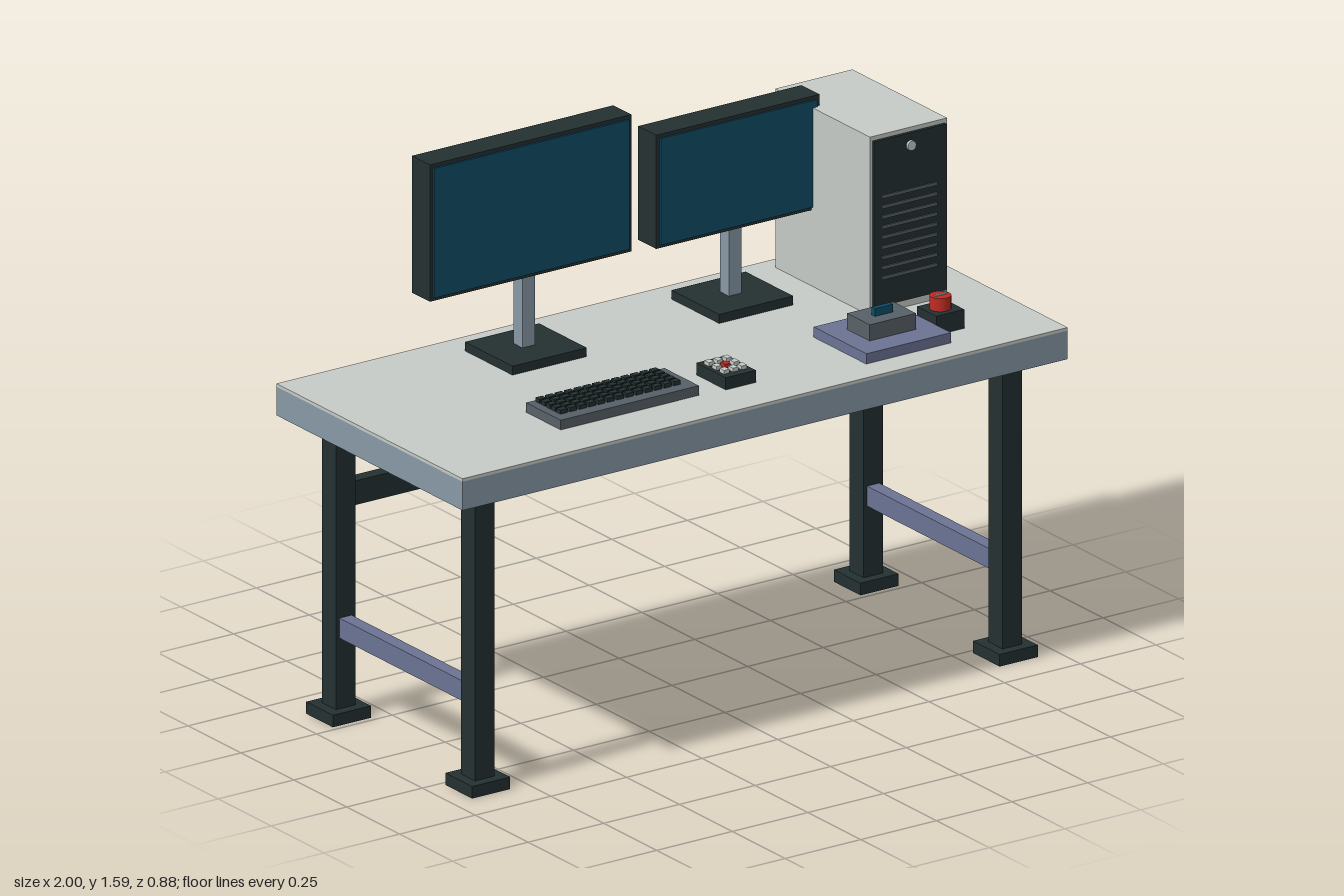
import * as THREE from 'three';

const mat = (name, color) => {
  const m = new THREE.MeshStandardMaterial({ color });
  m.name = name;
  return m;
};

export function createModel() {
  const light = mat('light grey', 0xc6cbc7), slate = mat('slate', 0x8799a6);
  const dark = mat('charcoal', 0x243031), violet = mat('violet grey', 0x6b7394);
  const blue = mat('screen blue', 0x0f4c67), red = mat('red', 0xc02c24);
  const grey = mat('mid grey', 0x586068);

  const model = new THREE.Group();
  model.name = 'workbench';
  const group = (name) => {
    const g = new THREE.Group();
    g.name = name;
    model.add(g);
    return g;
  };
  // Box given by its min and max on each axis
  const box = (parent, name, m, [x0, x1], [y0, y1], [z0, z1]) => {
    const mesh = new THREE.Mesh(new THREE.BoxGeometry(x1 - x0, y1 - y0, z1 - z0), m);
    mesh.position.set((x0 + x1) / 2, (y0 + y1) / 2, (z0 + z1) / 2);
    mesh.name = name;
    parent.add(mesh);
    return mesh;
  };
  const around = (c, size) => [c - size / 2, c + size / 2];
  const TOP = 0.957;

  // Table: slab, laminate, legs, feet and rails
  const table = group('table');
  box(table, 'tableSlab', slate, [-1, 1], [0.865, 0.948], [-0.44, 0.44]);
  box(table, 'tableLaminate', light, [-1, 1], [0.948, TOP], [-0.44, 0.44]);
  for (const sx of [-1, 1]) {
    const x = sx * 0.872;
    for (const sz of [-1, 1]) {
      const z = sz * 0.329;
      box(table, 'leg', dark, around(x, 0.065), [0.035, 0.865], around(z, 0.066));
      box(table, 'foot', dark, around(x, 0.126), [0, 0.035], around(z, 0.126));
    }
    box(table, 'sideRail', violet, around(x, 0.04), [0.24, 0.298], [-0.296, 0.296]);
  }
  box(table, 'backBeam', dark, [-0.84, 0.84], [0.6, 0.67], [-0.367, -0.327]);

  // Two monitors on stands
  const monitor = (name, standX, xs, ys) => {
    const g = group(name);
    box(g, 'standBase', dark, around(standX, 0.245), [TOP, 0.983], around(-0.238, 0.225));
    box(g, 'standPole', slate, around(standX, 0.042), [0.983, ys[0] + 0.001], around(-0.245, 0.042));
    box(g, 'monitorCase', dark, xs, ys, [-0.3, -0.215]);
    box(g, 'screen', blue, [xs[0] + 0.011, xs[1] - 0.011], [ys[0] + 0.01, ys[1] - 0.011], [-0.215, -0.209]);
  };
  monitor('largeMonitor', -0.317, [-0.65, 0.016], [1.188, 1.585]);
  monitor('smallMonitor', 0.366, [0.098, 0.638], [1.177, 1.507]);

  // Computer tower with vents and power button
  const tower = group('computerTower');
  box(tower, 'towerCase', light, [0.612, 0.867], [TOP, 1.475], [-0.387, 0.06]);
  box(tower, 'towerFront', dark, [0.62, 0.859], [0.98, 1.462], [0.06, 0.069]);
  for (let i = 0; i < 9; i++) {
    box(tower, 'vent', grey, [0.645, 0.827], around(1.062 + i * 0.0294, 0.009), [0.069, 0.073]);
  }
  const button = new THREE.Mesh(new THREE.CylinderGeometry(0.014, 0.014, 0.009, 16), light);
  button.name = 'powerButton';
  button.rotation.x = Math.PI / 2;
  button.position.set(0.74, 1.427, 0.0725);
  tower.add(button);

  // Keyboard with rows of keys
  const keyboard = group('keyboard');
  box(keyboard, 'keyboardBody', grey, [-0.57, -0.113], [TOP, 0.985], [0.126, 0.289]);
  for (let r = 0; r < 5; r++) {
    for (let c = 0; c < 13; c++) {
      box(keyboard, 'key', dark, around(-0.533 + c * 0.0312, 0.023), [0.985, 0.997], around(0.143 + r * 0.0248, 0.019));
    }
  }

  // Small keypad, centre button red
  const keypad = group('keypad');
  box(keypad, 'keypadBody', dark, [-0.03, 0.07], [TOP, 0.992], [0.158, 0.297]);
  for (let r = -1; r <= 1; r++) {
    for (let c = -1; c <= 1; c++) {
      box(keypad, 'keypadButton', r === 0 && c === 0 ? red : light,
        around(0.02 + c * 0.029, 0.018), [0.992, 1.003], around(0.225 + r * 0.036, 0.022));
    }
  }

  // Card reader on a mat
  const reader = group('cardReader');
  box(reader, 'readerMat', violet, [0.394, 0.674], [TOP, 0.987], [0.106, 0.355]);
  box(reader, 'readerBody', grey, [0.457, 0.61], [0.987, 1.034], [0.174, 0.281]);
  box(reader, 'readerCard', blue, [0.505, 0.564], [1.034, 1.057], [0.222, 0.238]);

  // Emergency stop button
  const stop = group('stopButton');
  box(stop, 'stopBase', dark, [0.675, 0.767], [TOP, 1.012], [0.193, 0.285]);
  const knob = new THREE.Mesh(new THREE.CylinderGeometry(0.03, 0.03, 0.038, 20), red);
  knob.name = 'stopKnob';
  knob.position.set(0.72, 1.031, 0.239);
  stop.add(knob);
  box(stop, 'stopMark', light, around(0.72, 0.042), [1.05, 1.053], around(0.239, 0.007));

  return model;
}
